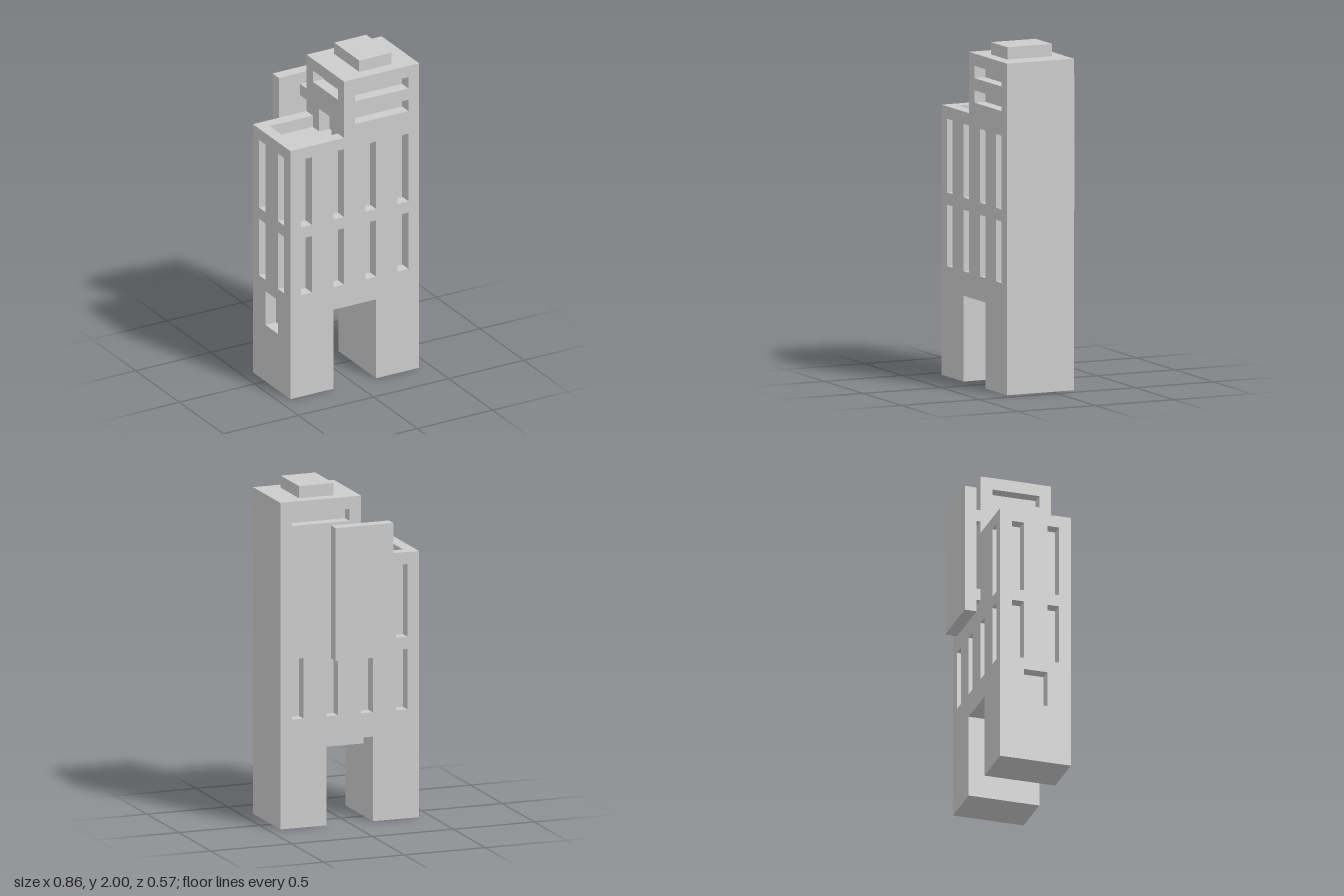
import * as THREE from 'three';

const U = 1 / 14; // one grid unit of the building
const material = new THREE.MeshStandardMaterial({ color: 0xcccccc, flatShading: true });

const toPoints = (list) => list.map(([x, y]) => new THREE.Vector2(x, y));
const rect = ([x0, y0, x1, y1]) => [[x0, y0], [x1, y0], [x1, y1], [x0, y1]];

// Flat slab with rectangular openings, from z0 to z1
function slab(outline, openings, z0, z1) {
  const shape = new THREE.Shape(toPoints(outline));
  shape.holes = openings.map((o) => new THREE.Path(toPoints(rect(o).reverse())));
  const geometry = new THREE.ExtrudeGeometry(shape, { depth: z1 - z0, bevelEnabled: false });
  return geometry.translate(0, 0, z0);
}

// One unit thick slab drawn in (z, y), whose inner face lies at x
function sideSlab(outline, openings, x) {
  return slab(outline, openings, 0, 1).rotateY(-Math.PI / 2).translate(x, 0, 0);
}

function box(x0, x1, y0, y1, z0, z1) {
  return new THREE.BoxGeometry(x1 - x0, y1 - y0, z1 - z0)
    .translate((x0 + x1) / 2, (y0 + y1) / 2, (z0 + z1) / 2);
}

export function createModel() {
  const model = new THREE.Group();
  model.name = 'building';
  const add = (name, geometry) => {
    const mesh = new THREE.Mesh(geometry.scale(U, U, U), material);
    mesh.name = name;
    model.add(mesh);
  };

  // Window openings: [left, bottom, right, top]
  const columns = [-5, -2, 1, 4];
  const lowerWindows = columns.map((x) => [x, 9, x + 1, 14]);
  const upperWindows = columns.map((x) => [x, 15, x + 1, 21]);
  const topSlot = [0, 25, 5, 26];
  const secondSlot = [0, 23, 5, 24];

  // Stepped outline with the passage; left edge, roof height and tower edge vary
  const outline = (left, roof, towerLeft) => [
    [left, 0], [-2, 0], [-2, 7], [2, 7], [2, 0], [6, 0],
    [6, 27], [towerLeft, 27], [towerLeft, roof], [left, roof],
  ];

  // Solid core, its low roof forming the terrace floor
  add('core', slab(outline(-5, 21, 0), [], -1, 3));

  // Outer walls, one unit thick
  add('frontWall', slab(outline(-6, 22, -1),
    [...lowerWindows, ...upperWindows, topSlot, secondSlot], 3, 4));
  add('backWall', slab(outline(-6, 22, -1),
    [...lowerWindows, upperWindows[0], topSlot], -2, -1));
  add('rightWall', sideSlab(rect([-1, 0, 3, 22]), [
    [-1 + 0.0005, 9, 0, 14], [2, 9, 3 - 0.0005, 14],
    [-1 + 0.0005, 15, 0, 21], [2, 15, 3 - 0.0005, 21],
    [0, 5, 2, 8],
  ], -5));

  // Tower side wall with terrace doorway and slot window
  add('towerSideWall', sideSlab(
    [[-1, 21], [0, 21], [0, 23], [2, 23], [2, 21], [3, 21], [3, 27], [-1, 27]],
    [[-1 + 0.0005, 25, 3 - 0.0005, 26]], 0));

  add('passageBeam', box(-2, 2, 6, 7, 0, 2));
  add('roofBox', box(1, 4, 27, 28, -1, 3));

  // Board on the back with its two brackets
  add('backBoard', box(-3, 2, 14, 25, -4, -3));
  for (const y of [16, 23]) add('boardBracket', box(-1, 1, y, y + 1, -3, -2));

  return model;
}
